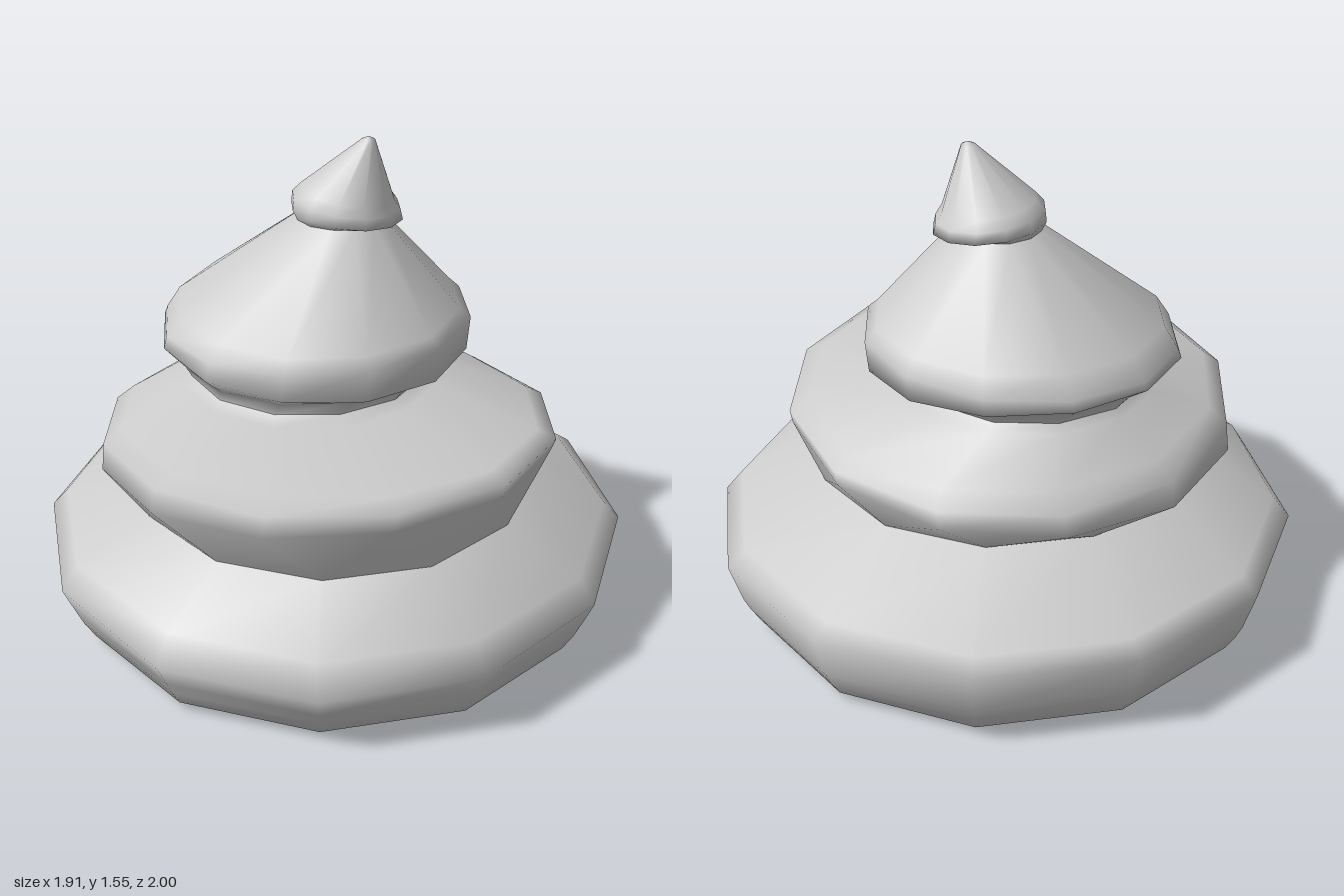
import * as THREE from 'three';

const SIDES = 12;

// Ring: [radius, y, centre x, centre z, rise towards +x, rise towards +z].
// Each tier starts on the last ring of the one below it.
const TIERS = [
  { name: 'baseTier', twist: 0, depth: 1.045, rings: [
    [0.79, 0], [0.86, 0.03], [0.895, 0.09], [0.915, 0.135],
    [0.956, 0.25, 0, 0, 0, -0.04],
    [0.9, 0.315, 0, 0.01],
    [0.64, 0.46, 0, 0.08]] },
  { name: 'secondTier', twist: -12, depth: 1, rings: [
    [0.73, 0.585, -0.02, 0.08, 0.04, 0.05],
    [0.73, 0.65, -0.01, 0.09, 0.01, 0.055],
    [0.67, 0.69, -0.01, 0.09, 0, 0.045],
    [0.415, 0.765, -0.08, -0.02],
    [0.385, 0.79, -0.085, -0.03]] },
  { name: 'thirdTier', twist: -8, depth: 0.98, rings: [
    [0.41, 0.83, -0.085, -0.04],
    [0.5, 0.88, -0.07, -0.08, -0.02, -0.02],
    [0.5, 0.95, -0.06, -0.08, 0.02],
    [0.46, 1, -0.055, -0.075, 0, -0.01],
    [0.14, 1.285, 0.015, -0.07]] },
  { name: 'tip', twist: -8, depth: 1, rings: [
    [0.178, 1.3, 0.037, -0.075, -0.02],
    [0.172, 1.335, 0.035, -0.075, -0.02],
    [0.148, 1.365, 0.04, -0.07, -0.02],
    [0.022, 1.54, 0.103, -0.048],
    [0.001, 1.55, 0.105, -0.048]] },
];

function ringPoints([radius, y, cx = 0, cz = 0, riseX = 0, riseZ = 0], { twist, depth }) {
  const points = [];
  for (let i = 0; i < SIDES; i++) {
    const a = (i / SIDES) * Math.PI * 2 + THREE.MathUtils.degToRad(twist);
    const s = Math.sin(a), c = Math.cos(a);
    points.push(cx + s * radius, y + riseX * s + riseZ * c, cz + c * radius * depth);
  }
  return points;
}

// Smooth skin over a stack of rings
function loft(rings) {
  const index = [];
  for (let r = 1; r < rings.length; r++) {
    const lo = (r - 1) * SIDES, hi = r * SIDES;
    for (let i = 0; i < SIDES; i++) {
      const j = (i + 1) % SIDES;
      index.push(lo + i, lo + j, hi + j, lo + i, hi + j, hi + i);
    }
  }
  const geometry = new THREE.BufferGeometry();
  geometry.setAttribute('position', new THREE.Float32BufferAttribute(rings.flat(), 3));
  geometry.setIndex(index);
  geometry.computeVertexNormals();
  return geometry;
}

export function createModel() {
  const group = new THREE.Group();
  group.name = 'swirl';
  const material = new THREE.MeshStandardMaterial({ color: 0xcccccc });

  // Stacked, slightly off-centre swirl tiers
  let shared = [];
  for (const tier of TIERS) {
    const rings = [...shared, ...tier.rings.map((ring) => ringPoints(ring, tier))];
    const mesh = new THREE.Mesh(loft(rings), material);
    mesh.name = tier.name;
    group.add(mesh);
    shared = rings.slice(-1);
  }

  // Flat underside, its corners on the lowest ring
  const [base] = TIERS;
  const underside = new THREE.Mesh(new THREE.CircleGeometry(base.rings[0][0], SIDES), material);
  underside.name = 'underside';
  underside.rotation.x = Math.PI / 2;
  underside.scale.y = base.depth;
  group.add(underside);
  return group;
}
